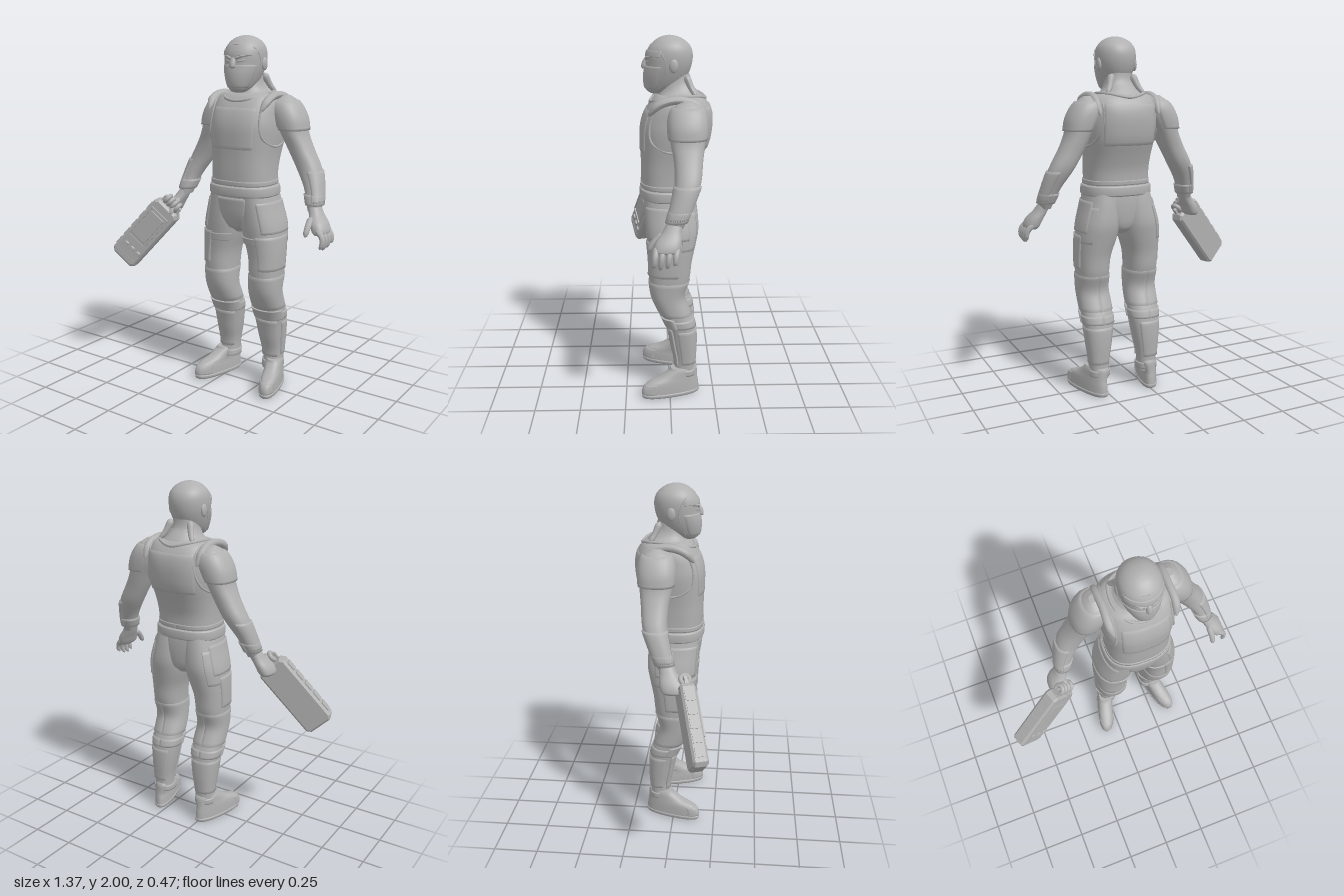
import * as THREE from 'three';

const grey = new THREE.MeshStandardMaterial({ color: 0xb0b0b0 });
grey.name = 'plain grey';
const V = (x, y, z) => new THREE.Vector3(x, y, z);

// A body form is a list of rings [y, xMin, xMax, zBack, zFront], bottom to top.
const mirrored = (rings, s) => (s > 0 ? rings : rings.map(([y, a, b, c, d]) => [y, -b, -a, c, d]));
const sym = (rings) => rings.map(([y, h, c, d]) => [y, -h, h, c, d]);

// Smooth ring at any height
function ringAt(R, y) {
  let i = 0;
  while (i < R.length - 2 && y > R[i + 1][0]) i++;
  const h = R[i + 1][0] - R[i][0], t = Math.min(1, Math.max(0, (y - R[i][0]) / h));
  const slope = (j, k) => {
    const a = R[Math.max(0, j - 1)], b = R[Math.min(R.length - 1, j + 1)];
    return (b[k] - a[k]) / (b[0] - a[0]);
  };
  return [1, 2, 3, 4].map((k) => {
    const t2 = t * t, t3 = t2 * t;
    return (2 * t3 - 3 * t2 + 1) * R[i][k] + (t3 - 2 * t2 + t) * h * slope(i, k)
      + (3 * t2 - 2 * t3) * R[i + 1][k] + (t3 - t2) * h * slope(i + 1, k);
  });
}

// Point on a form: angle 0 faces front, PI/2 faces +x
function on(R, y, a, grow = 0, p = 2.3) {
  const [x0, x1, z0, z1] = ringAt(R, y);
  const pw = (v) => Math.sign(v) * Math.abs(v) ** (2 / p);
  return V((x0 + x1) / 2 + ((x1 - x0) / 2 + grow) * pw(Math.sin(a)), y,
    (z0 + z1) / 2 + ((z1 - z0) / 2 + grow) * pw(Math.cos(a)));
}

function grid(rows, cols, point, wrap) {
  const pos = [], idx = [], w = wrap ? cols : cols + 1;
  for (let j = 0; j <= rows; j++) for (let i = 0; i < w; i++) pos.push(...point(i, j).toArray());
  for (let j = 0; j < rows; j++) for (let i = 0; i < cols; i++) {
    const k = (i + 1) % w, a = j * w + i, b = j * w + k, c = b + w, d = a + w;
    idx.push(a, b, c, a, c, d);
  }
  if (wrap) for (const top of [false, true]) { // closed ends
    const base = pos.length / 3, start = top ? rows * w : 0, m = V(0, 0, 0);
    for (let i = 0; i < w; i++) {
      const q = V(pos[(start + i) * 3], pos[(start + i) * 3 + 1], pos[(start + i) * 3 + 2]);
      pos.push(q.x, q.y, q.z);
      m.addScaledVector(q, 1 / w);
    }
    pos.push(m.x, m.y, m.z);
    for (let i = 0; i < w; i++) {
      const k = base + (i + 1) % w;
      idx.push(base + w, ...(top ? [base + i, k] : [k, base + i]));
    }
  }
  const g = new THREE.BufferGeometry();
  g.setAttribute('position', new THREE.Float32BufferAttribute(pos, 3));
  g.setIndex(idx);
  g.computeVertexNormals();
  return g;
}

function loft(R, p = 2.3, sub = 4, n = 40) {
  const rows = (R.length - 1) * sub;
  return grid(rows, n, (i, j) => {
    const k = Math.min(R.length - 2, Math.floor(j / sub));
    return on(R, R[k][0] + (R[k + 1][0] - R[k][0]) * (j / sub - k), i / n * Math.PI * 2, 0, p);
  }, true);
}

// Raised plate following a form, with its border sunk into the surface
function plate(R, y0, y1, a0, a1, grow, p = 2.3, rows = 14, cols = 18) {
  const at = (k, n) => Math.min(Math.max((k - 1) / (n - 2), 0), 1);
  return grid(rows, cols, (i, j) => {
    const edge = i === 0 || j === 0 || i === cols || j === rows;
    return on(R, y0 + (y1 - y0) * at(j, rows), a0 + (a1 - a0) * at(i, cols), edge ? -0.004 : grow, p);
  }, false);
}

// Raised seam through [y, angle] points
function seam(R, pts, r, closed = false, p = 2.3) {
  const c = new THREE.CatmullRomCurve3(pts.map(([y, a]) => on(R, y, a, 0, p)), closed);
  return new THREE.TubeGeometry(c, 60, r, 6, closed);
}

// Rounded tapering limb along a curve
function sweep(pts, r0, r1, seg = 14, rad = 10) {
  const c = new THREE.CatmullRomCurve3(pts), g = new THREE.TubeGeometry(c, seg, 1, rad), P = g.attributes.position;
  for (let i = 0; i < P.count; i++) {
    const t = Math.floor(i / (rad + 1)) / seg, m = c.getPointAt(t);
    const end = Math.sqrt(Math.min(1, Math.min(t, 1 - t) * 6));
    const v = V(P.getX(i), P.getY(i), P.getZ(i)).sub(m).multiplyScalar((r0 + (r1 - r0) * t) * end).add(m);
    P.setXYZ(i, v.x, v.y, v.z);
  }
  g.computeVertexNormals();
  return g;
}

const HEAD = sym([[1.7, 0.03, 0.04, 0.1], [1.715, 0.052, 0.0, 0.122], [1.75, 0.075, -0.065, 0.134], [1.8, 0.095, -0.1, 0.135],
  [1.85, 0.107, -0.118, 0.126], [1.9, 0.11, -0.123, 0.124], [1.94, 0.102, -0.112, 0.108], [1.97, 0.08, -0.085, 0.08],
  [1.988, 0.053, -0.055, 0.052], [1.997, 0.026, -0.026, 0.024], [2.0, 0.004, -0.004, 0.004]]);
const NECK = sym([[1.6, 0.15, -0.19, 0.06], [1.68, 0.13, -0.17, 0.065], [1.715, 0.093, -0.145, 0.05],
  [1.76, 0.075, -0.108, 0.04], [1.83, 0.07, -0.1, 0.04]]);
const TORSO = sym([[1.16, 0.182, -0.142, 0.15], [1.2, 0.18, -0.146, 0.154], [1.28, 0.18, -0.153, 0.156], [1.36, 0.184, -0.178, 0.156],
  [1.45, 0.195, -0.212, 0.158], [1.52, 0.2, -0.224, 0.156], [1.58, 0.197, -0.226, 0.142], [1.63, 0.192, -0.216, 0.118],
  [1.67, 0.177, -0.192, 0.09], [1.69, 0.15, -0.17, 0.068], [1.698, 0.11, -0.15, 0.05]]);
const PELVIS = sym([[0.925, 0.04, -0.1, 0.07], [0.96, 0.09, -0.13, 0.105], [1.02, 0.15, -0.142, 0.13], [1.1, 0.185, -0.145, 0.143], [1.17, 0.185, -0.14, 0.15]]);
const BELT = sym([[1.138, 0.192, -0.15, 0.156], [1.145, 0.197, -0.157, 0.163], [1.188, 0.195, -0.157, 0.163], [1.196, 0.188, -0.15, 0.156]]);
const LEG = [[0.1, 0.095, 0.205, -0.14, -0.015], [0.2, 0.093, 0.207, -0.142, -0.028], [0.3, 0.075, 0.217, -0.147, -0.008],
  [0.4, 0.06, 0.227, -0.144, 0.012], [0.46, 0.056, 0.232, -0.13, 0.036], [0.52, 0.056, 0.234, -0.105, 0.07], [0.6, 0.06, 0.236, -0.078, 0.102],
  [0.7, 0.06, 0.24, -0.108, 0.115], [0.8, 0.05, 0.243, -0.12, 0.115], [0.9, 0.02, 0.241, -0.142, 0.123],
  [0.98, 0.005, 0.231, -0.156, 0.132], [1.08, 0.004, 0.203, -0.15, 0.138], [1.16, 0.004, 0.183, -0.138, 0.14]];
const FOOT = [[0, 0.143, 0.237, -0.158, 0.148], [0.012, 0.138, 0.242, -0.165, 0.155], [0.06, 0.138, 0.242, -0.163, 0.152],
  [0.09, 0.14, 0.24, -0.158, 0.125], [0.115, 0.137, 0.236, -0.156, 0.06], [0.15, 0.132, 0.232, -0.154, 0.005], [0.165, 0.138, 0.226, -0.148, -0.005]];
const ARM = [[1.085, 0.4, 0.46, -0.06, 0.025], [1.12, 0.386, 0.468, -0.078, 0.022], [1.2, 0.354, 0.454, -0.112, 0.0],
  [1.3, 0.29, 0.424, -0.152, -0.018], [1.4, 0.234, 0.37, -0.165, -0.015], [1.48, 0.195, 0.333, -0.176, 0.0], [1.56, 0.15, 0.317, -0.184, 0.008],
  [1.62, 0.135, 0.288, -0.178, 0.0], [1.66, 0.145, 0.255, -0.155, -0.025], [1.683, 0.18, 0.225, -0.115, -0.07]];
const PALM = [[0.975, 0.47, 0.528, -0.03, 0.085], [0.99, 0.455, 0.538, -0.042, 0.09], [1.03, 0.436, 0.523, -0.05, 0.078],
  [1.07, 0.416, 0.49, -0.052, 0.045], [1.11, 0.4, 0.465, -0.058, 0.022]];

export function createModel() {
  const model = new THREE.Group(), body = new THREE.Group();
  model.name = 'standingFigure';
  body.name = 'body';
  body.position.x = 0.143;
  model.add(body);
  const add = (name, g, parent = body) => {
    const m = new THREE.Mesh(g, grey);
    m.name = name;
    parent.add(m);
    return m;
  };

  // Head, mask and neck
  add('head', loft(HEAD, 2.1));
  add('lowerMask', plate(HEAD, 1.725, 1.845, -1.25, 1.25, 0.004, 2.1));
  add('hoodBand', plate(HEAD, 1.895, 1.925, -1.2, 1.2, 0.004, 2.1));
  add('nose', sweep([V(0, 1.885, 0.118), V(0, 1.85, 0.131), V(0, 1.825, 0.13)], 0.012, 0.02));
  add('hoodSeam', seam(HEAD, [[1.73, -1.5], [1.85, -1.45], [1.93, -1.1], [1.95, 0], [1.93, 1.1], [1.85, 1.45], [1.73, 1.5]], 0.003, false, 2.1));
  add('neck', loft(NECK));
  for (const s of [-1, 1]) {
    add('brow', sweep([V(s * 0.008, 1.875, 0.125), V(s * 0.045, 1.89, 0.116), V(s * 0.08, 1.895, 0.086)], 0.008, 0.006));
    add('eye', sweep([V(s * 0.02, 1.862, 0.121), V(s * 0.045, 1.867, 0.113), V(s * 0.068, 1.872, 0.096)], 0.007, 0.004));
    add('ear', new THREE.SphereGeometry(1, 16, 12).scale(0.012, 0.036, 0.024).translate(s * 0.106, 1.85, -0.02));
    add('hoodTail', sweep([V(s * 0.06, 1.8, -0.085), V(s * 0.085, 1.73, -0.115), V(s * 0.11, 1.69, -0.14)], 0.022, 0.012));
  }

  // Vest, belt and pelvis
  add('vest', loft(TORSO, 2.6));
  add('vestCollar', new THREE.TubeGeometry(new THREE.CatmullRomCurve3([V(0, 1.655, 0.103), V(0.08, 1.668, 0.08), V(0.128, 1.694, -0.02),
    V(0.105, 1.695, -0.14), V(0, 1.675, -0.19), V(-0.105, 1.695, -0.14), V(-0.128, 1.694, -0.02), V(-0.08, 1.668, 0.08)], true), 64, 0.009, 8, true));
  add('chestPlate', plate(TORSO, 1.4, 1.62, -0.62, 0.62, 0.004, 2.6));
  add('backPlate', plate(TORSO, 1.42, 1.64, Math.PI - 0.75, Math.PI + 0.75, 0.005, 2.6));
  add('vestHem', plate(TORSO, 1.2, 1.225, -Math.PI, Math.PI, 0.004, 2.6, 6, 60));
  add('belt', loft(BELT, 2.5));
  add('pelvis', loft(PELVIS));
  add('groinPlate', plate(PELVIS, 0.95, 1.13, -0.42, 0.42, 0.008));

  for (const s of [-1, 1]) {
    const leg = mirrored(LEG, s), arm = mirrored(ARM, s);
    const side = (R, y0, y1, a0, a1, g) => plate(R, y0, y1, Math.min(s * a0, s * a1), Math.max(s * a0, s * a1), g);
    add('armholeTrim', seam(TORSO, [[1.665, 0.95], [1.56, 0.8], [1.46, 0.95], [1.41, 1.57], [1.46, 2.15], [1.57, 2.4], [1.665, 2.2]]
      .map(([y, a]) => [y, s * a]), 0.007, true, 2.6));
    add('shoulderStrap', sweep([V(s * 0.165, 1.6, 0.115), V(s * 0.178, 1.66, 0.06), V(s * 0.175, 1.685, -0.04),
      V(s * 0.178, 1.66, -0.14), V(s * 0.17, 1.58, -0.195)], 0.022, 0.022, 24));

    // Leg armour and boots
    add('leg', loft(leg));
    add('thighPlate', side(leg, 0.73, 0.92, 0.1, 1.9, 0.007));
    add('thighStrap', side(leg, 0.87, 0.91, -0.9, 0.4, 0.006));
    add('hipPocket', side(leg, 0.94, 1.11, 0.45, 2.2, 0.006));
    add('rearPocket', side(leg, 0.88, 1.08, 1.9, 2.6, 0.005));
    add('trouserCuff', plate(leg, 0.49, 0.69, -Math.PI, Math.PI, 0.005, 2.3, 12, 50));
    add('kneeGuard', side(leg, 0.42, 0.48, -1.4, 1.4, 0.012));
    add('kneeStrap', plate(leg, 0.42, 0.465, -Math.PI, Math.PI, 0.006, 2.3, 6, 50));
    add('shinGuard', side(leg, 0.18, 0.41, -0.9, 0.9, 0.008));
    add('calfGuard', side(leg, 0.19, 0.4, 1.3, 3.8, 0.006));
    const foot = mirrored(FOOT, s), shear = new THREE.Matrix4().set(1, 0, s * 0.25, 0, 0, 1, 0, 0, 0, 0, 1, 0, 0, 0, 0, 1);
    const sheared = (g) => { g.applyMatrix4(shear); g.computeVertexNormals(); return g; };
    add('boot', sheared(loft(foot, 2.4)));
    add('bootSole', sheared(plate(foot, 0.004, 0.025, -Math.PI, Math.PI, 0.004, 2.4, 5, 50)));
    add('toeCap', sheared(plate(foot, 0.03, 0.085, -1.0, 1.0, 0.004, 2.4)));
    add('ankleCuff', plate(leg, 0.115, 0.15, -Math.PI, Math.PI, 0.006, 2.3, 6, 40));

    // Arm armour and palm
    add('arm', loft(arm));
    add('shoulderPad', side(arm, 1.5, 1.655, -0.5, 3.6, 0.01));
    add('forearmGuard', side(arm, 1.13, 1.29, 0.2, 2.9, 0.008));
    add('wristCuff', plate(arm, 1.115, 1.17, -Math.PI, Math.PI, 0.008, 2.3, 6, 40));
    add('palm', loft(mirrored(PALM, s)));
    add('thumb', sweep([V(s * 0.445, 1.06, 0.035), V(s * 0.45, 1.015, 0.088), V(s * 0.45, 0.965, 0.118)], 0.02, 0.014));
  }

  // Open fingers of the left hand
  [[-0.03, 0.925], [0.005, 0.9], [0.04, 0.893], [0.074, 0.905]].forEach(([z, y]) => add('finger',
    sweep([V(0.492, 1.01, z), V(0.532, 0.965, z + 0.008), V(0.534, 0.93, z + 0.013), V(0.522, y, z + 0.018)], 0.018, 0.012)));

  // Carried device, built upright then tilted into the right hand
  const device = new THREE.Group();
  device.name = 'handheldCase';
  const up = V(0.633, 0.742, -0.218).normalize(), across = up.clone().cross(V(0.32, 0.01, 0.95)).normalize();
  device.applyMatrix4(new THREE.Matrix4().makeBasis(across, up, across.clone().cross(up)).setPosition(-0.48, 0.843, 0.135));
  model.add(device);
  const slab = (w, h, d, c, b) => {
    const x = w / 2 - b, y = h / 2 - b, sh = new THREE.Shape([[-x + c, -y], [x - c, -y], [x, -y + c], [x, y - c],
      [x - c, y], [-x + c, y], [-x, y - c], [-x, -y + c]].map(([u, v]) => new THREE.Vector2(u, v)));
    return new THREE.ExtrudeGeometry(sh, { depth: d - 2 * b, bevelSize: b, bevelThickness: b, bevelSegments: 1 }).translate(0, 0, b - d / 2);
  };
  const box = (name, w, h, d, x, y, z) => add(name, new THREE.BoxGeometry(w, h, d).translate(x, y, z), device);
  add('caseShell', slab(0.178, 0.45, 0.085, 0.015, 0.012), device);
  for (const e of [-1, 1]) {
    box('screenFrame', 0.008, 0.23, 0.012, -0.008 + e * 0.062, 0.05, 0.044);
    box('screenFrame', 0.132, 0.008, 0.012, -0.008, 0.05 + e * 0.115, 0.044);
    box('handlePost', 0.014, 0.04, 0.018, e * 0.058, 0.24, 0);
  }
  add('screen', slab(0.1, 0.195, 0.008, 0.006, 0.002).translate(-0.008, 0.05, 0.045), device);
  for (let i = -1; i <= 1; i++) add('button', slab(0.03, 0.03, 0.014, 0.004, 0.003).translate(0.008 + i * 0.047, -0.125, 0.045), device);
  for (let i = 0; i < 9; i++) box('grilleBar', 0.006, 0.018, 0.008, -0.06 + i * 0.015, -0.19, 0.042);
  for (let i = 0; i < 5; i++) box('sideBlock', 0.014, 0.056, 0.052, -0.088, -0.15 + i * 0.075, 0);
  add('handle', new THREE.CylinderGeometry(0.01, 0.01, 0.13, 12).rotateZ(Math.PI / 2).translate(0, 0.258, 0), device);
  for (let i = 0; i < 4; i++) add('grippingFinger',
    new THREE.TorusGeometry(0.024, 0.013, 10, 20).rotateY(Math.PI / 2).translate(-0.038 + i * 0.026, 0.255, 0), device);

  return model;
}
